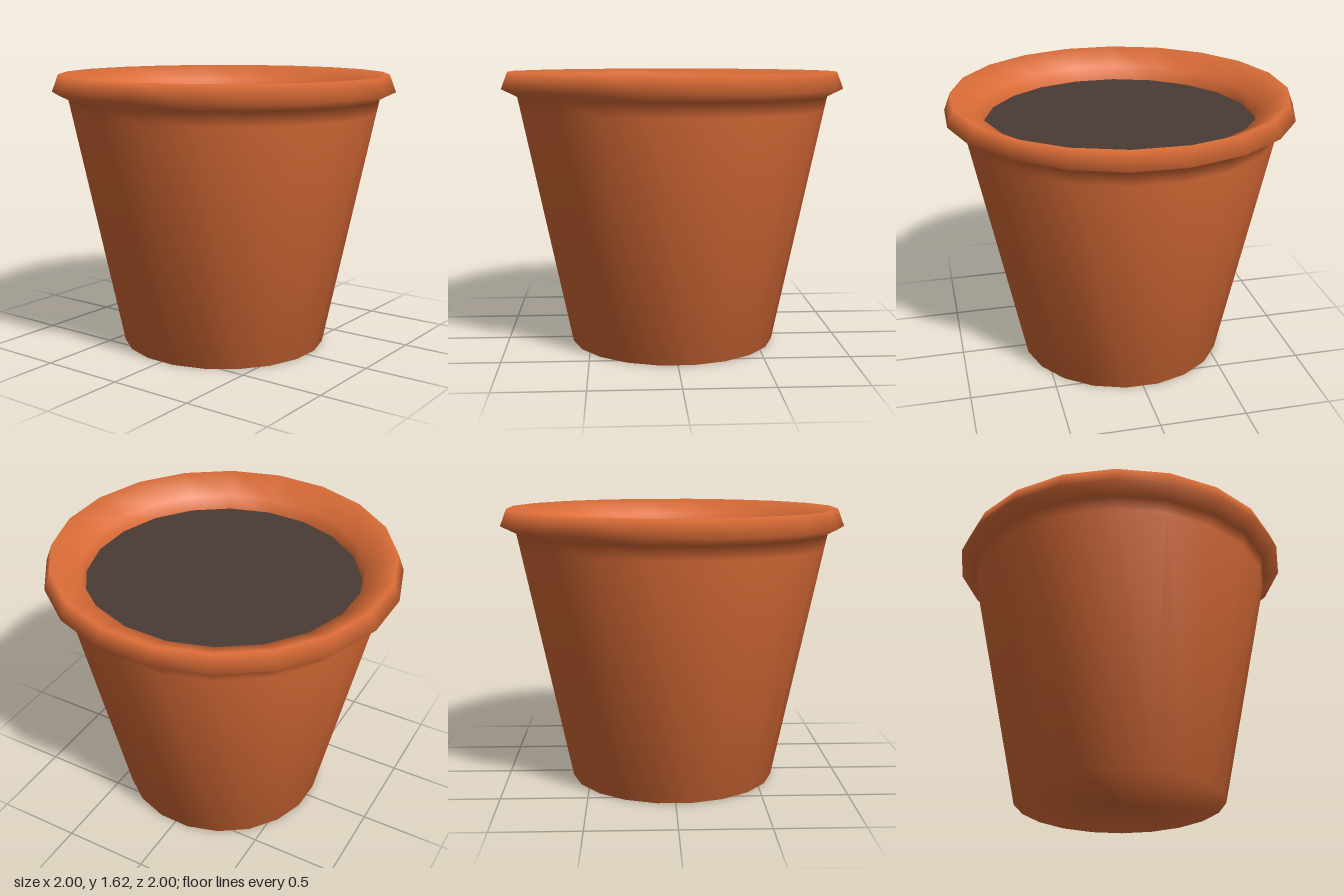
import * as THREE from 'three';
import { mergeVertices } from 'three/addons/utils/BufferGeometryUtils.js';

const SIDES = 20;
const TURN = THREE.MathUtils.degToRad(8.1);

// Revolve a profile of [radius, height] pairs, smooth across every edge
function revolve(profile) {
  const points = profile.map(([r, y]) => new THREE.Vector2(r, y));
  const lathe = new THREE.LatheGeometry(points, SIDES, TURN);
  lathe.deleteAttribute('uv');
  lathe.deleteAttribute('normal');
  const geometry = mergeVertices(lathe, 1e-4);
  geometry.computeVertexNormals();
  return geometry;
}

export function createModel() {
  const terracotta = new THREE.MeshStandardMaterial({ color: 0xde6e38 });
  terracotta.name = 'terracotta';
  const earth = new THREE.MeshStandardMaterial({ color: 0x4a3b35 });
  earth.name = 'earth';

  const group = new THREE.Group();
  group.name = 'flowerPot';

  // Pot: base, tapered wall, flared rim, sloping lip and inner wall
  const pot = new THREE.Mesh(revolve([
    [0, 0], [0.611, 0],
    [0.901, 1.4], [0.918, 1.48],
    [1.01, 1.525], [0.972, 1.625],
    [0.803, 1.54], [0.783, 1.43],
  ]), terracotta);
  pot.name = 'pot';

  // Soil: flat disc just below the lip
  const soil = new THREE.Mesh(revolve([[0.788, 1.455], [0, 1.455]]), earth);
  soil.name = 'soil';

  group.add(pot, soil);
  return group;
}
